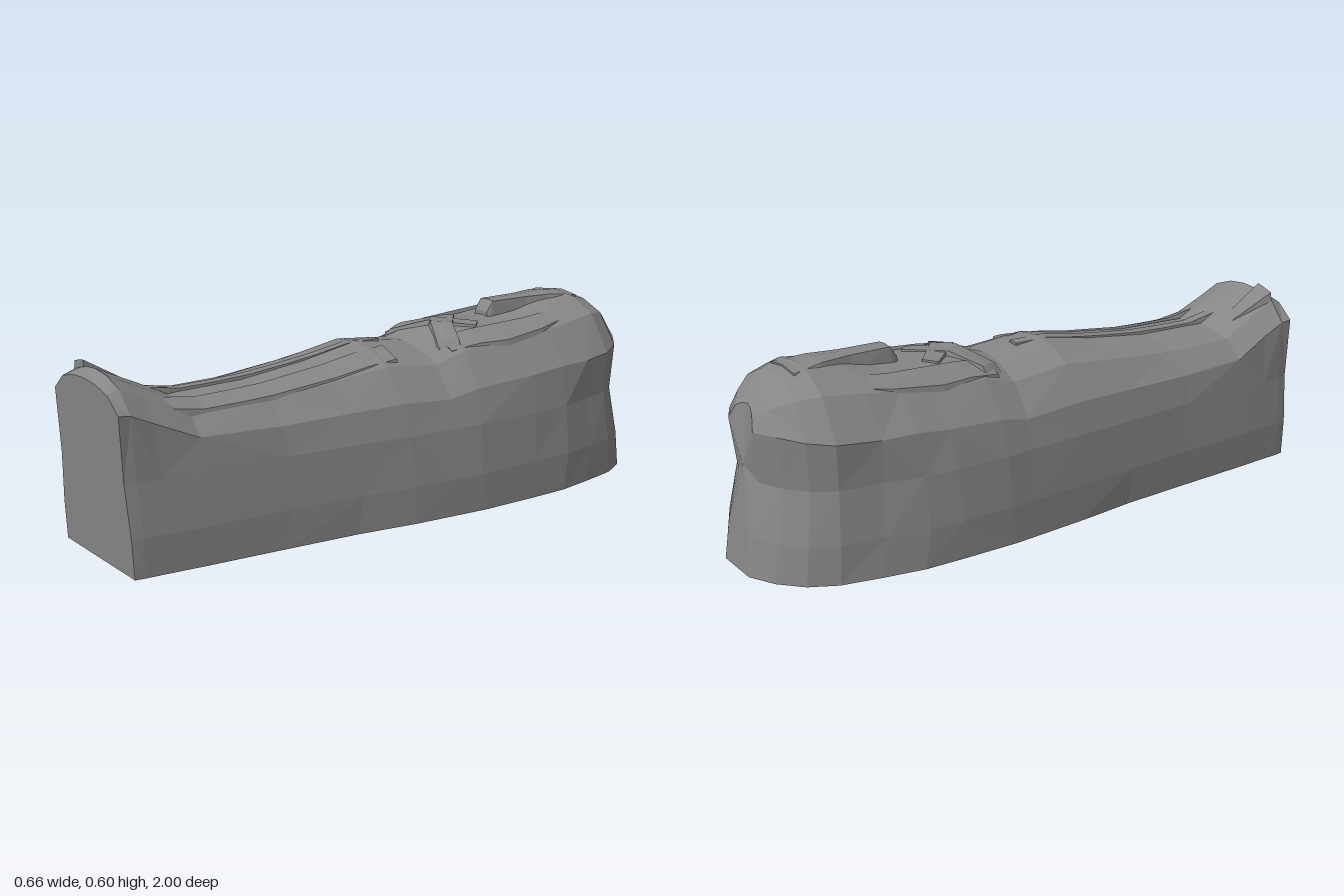
import * as THREE from 'three';

const material = new THREE.MeshStandardMaterial({ color: 0x868686, flatShading: true });
const { lerp, clamp } = THREE.MathUtils;

// Body stations from feet to head: z, base half-width, mid half-width, shoulder half-width, shoulder y, top y
const stations = [
  [0.985, 0.215, 0.198, 0.2, 0.48, 0.55],
  [0.95, 0.22, 0.205, 0.2, 0.475, 0.572],
  [0.88, 0.225, 0.212, 0.2, 0.44, 0.535],
  [0.77, 0.235, 0.222, 0.21, 0.38, 0.468],
  [0.5, 0.255, 0.24, 0.22, 0.37, 0.472],
  [0.25, 0.275, 0.265, 0.24, 0.375, 0.498],
  [0.05, 0.303, 0.285, 0.26, 0.38, 0.532],
  [-0.13, 0.32, 0.3, 0.275, 0.37, 0.51],
  [-0.22, 0.328, 0.31, 0.28, 0.39, 0.545],
  [-0.42, 0.33, 0.31, 0.285, 0.4, 0.55],
  [-0.55, 0.328, 0.302, 0.282, 0.41, 0.562],
  [-0.68, 0.306, 0.275, 0.275, 0.41, 0.586],
  [-0.8, 0.28, 0.258, 0.262, 0.42, 0.601],
  [-0.88, 0.235, 0.215, 0.22, 0.43, 0.58],
  [-0.94, 0.165, 0.15, 0.155, 0.44, 0.54],
  [-0.98, 0.08, 0.07, 0.08, 0.44, 0.5],
];

// Half cross-section, from the base up to the centre line
function halfSection([, wB, wM, wS, yS, yT]) {
  return [
    [wB, 0], [(wB + wM) / 2 + 0.008, 0.12], [wM, 0.28], [wS, yS],
    [wS * 0.7, lerp(yS, yT, 0.68)], [wS * 0.35, lerp(yS, yT, 0.93)], [0, yT],
  ];
}

const centreX = z => -0.015 * Math.max(0, z);

// Height of the lid at x, z
function lidHeight(x, z) {
  let s = 0;
  while (s < stations.length - 2 && stations[s + 1][0] > z) s++;
  const a = stations[s], b = stations[s + 1];
  const t = clamp((a[0] - z) / (a[0] - b[0]), 0, 1);
  const half = halfSection(a.map((v, i) => lerp(v, b[i], t)));
  const ax = Math.abs(x - centreX(z));
  for (let i = 5; i >= 3; i--) {
    const [x0, y0] = half[i + 1], [x1, y1] = half[i];
    if (ax <= x1) return lerp(y0, y1, (ax - x0) / (x1 - x0));
  }
  return half[3][1];
}

// Skin closed rings of points, with alternating diagonals, and cap both ends
function loft(name, rings) {
  const pos = [], n = rings[0].length, last = rings.length - 1;
  const tri = (...pts) => pts.forEach(p => pos.push(...p));
  const middle = ring => [0, 1, 2].map(k => ring.reduce((sum, p) => sum + p[k], 0) / n);
  for (let i = 0; i < n; i++) {
    const j = (i + 1) % n;
    for (let s = 0; s < last; s++) {
      const a = rings[s], b = rings[s + 1];
      if ((i + s) % 2) {
        tri(a[i], b[i], a[j]);
        tri(a[j], b[i], b[j]);
      } else {
        tri(a[i], b[i], b[j]);
        tri(a[i], b[j], a[j]);
      }
    }
    tri(middle(rings[0]), rings[0][i], rings[0][j]);
    tri(middle(rings[last]), rings[last][j], rings[last][i]);
  }
  const geometry = new THREE.BufferGeometry();
  geometry.setAttribute('position', new THREE.Float32BufferAttribute(pos, 3));
  geometry.computeVertexNormals();
  const mesh = new THREE.Mesh(geometry, material);
  mesh.name = name;
  return mesh;
}

// Main coffin; the foot board leans out, the crown is undercut at the neck, the facets are hand-hewn
function makeBody() {
  const crown = [-0.02, 0, 0.035, 0.018, 0.03, 0.04, 0.045];
  const rings = stations.map((st, s) => {
    const z = st[0];
    const head = clamp((-0.7 - z) / 0.28, 0, 1), foot = clamp((z - 0.8) / 0.18, 0, 1);
    const half = halfSection(st).map(([x, y], i) =>
      [x, y, z + head * crown[i] + foot * (y - 0.2) * 0.045]);
    const mirrored = half.slice(0, 6).reverse().map(([x, y, pz]) => [-x, y, pz]);
    return [...half, ...mirrored].map(([x, y, pz], i) => {
      const hewn = y > 0 && z < 0.8 && z > -0.7 ? 0.025 * Math.sin(i * 12.9 + s * 7.3) : 0;
      return [x + centreX(z), y, pz + hewn];
    });
  });
  return loft('coffinBody', rings);
}

// Raised band following the lid along points of [x, z, width, relief height]
function band(name, points) {
  const path = [];
  points.forEach((p, i) => {
    const q = points[i + 1];
    if (!q) return path.push(p);
    const steps = Math.max(1, Math.round(Math.hypot(q[0] - p[0], q[1] - p[1]) / 0.12));
    for (let k = 0; k < steps; k++) path.push(p.map((v, m) => lerp(v, q[m], k / steps)));
  });
  const rings = path.map(([x, z, w, h], i) => {
    const a = path[Math.max(0, i - 1)], b = path[Math.min(path.length - 1, i + 1)];
    const len = Math.hypot(b[0] - a[0], b[1] - a[1]);
    const sx = -(b[1] - a[1]) / len, sz = (b[0] - a[0]) / len;
    return [[0.5, -0.03], [0.36, h], [0, h], [-0.36, h], [-0.5, -0.03]].map(([k, up]) => {
      const px = x + sx * w * k, pz = z + sz * w * k;
      return [px, lidHeight(px, pz) + up, pz];
    });
  });
  return loft(name, rings);
}

export function createModel() {
  const group = new THREE.Group();
  group.name = 'sarcophagus';
  group.add(makeBody());

  // Level face narrowing into the beard, which ends in a step
  group.add(band('faceAndBeard',
    [[0, -0.82, 0.2, 0], [0, -0.62, 0.1, 0.026], [0, -0.48, 0.09, 0.045], [0, -0.455, 0.08, 0.012]]));

  // Headdress flaps and crossed forearms that fade into the lid, and toes
  for (const [side, s] of [['left', 1], ['right', -1]]) {
    group.add(band(side + 'HeaddressFlap',
      [[s * 0.13, -0.74, 0.06, -0.01], [s * 0.16, -0.55, 0.1, 0.01], [s * 0.16, -0.4, 0.12, 0.012], [s * 0.14, -0.19, 0.1, 0.004]]));
    group.add(band(side + 'Forearm',
      [[s * 0.24, -0.17, 0.08, -0.01], [s * 0.14, -0.2, 0.1, 0.012], [s * 0.03, -0.26, 0.1, 0.014], [-s * 0.08, -0.37, 0.07, 0.006]]));
    group.add(band(side + 'Toes',
      [[s * 0.1 - 0.015, 0.965, 0.1, s > 0 ? 0.004 : 0.03], [s * 0.09 - 0.01, 0.82, 0.05, 0.004]]));
  }

  // Long strips down the legs
  group.add(band('centreStrip', [[-0.015, 0.82, 0.05, 0], [-0.015, 0.7, 0.05, 0.008], [-0.01, -0.02, 0.05, 0.006]]));
  group.add(band('sideStrip', [[0.11, 0.82, 0.08, 0], [0.11, 0.7, 0.09, 0.008], [0.12, 0.02, 0.11, 0.006]]));
  return group;
}
